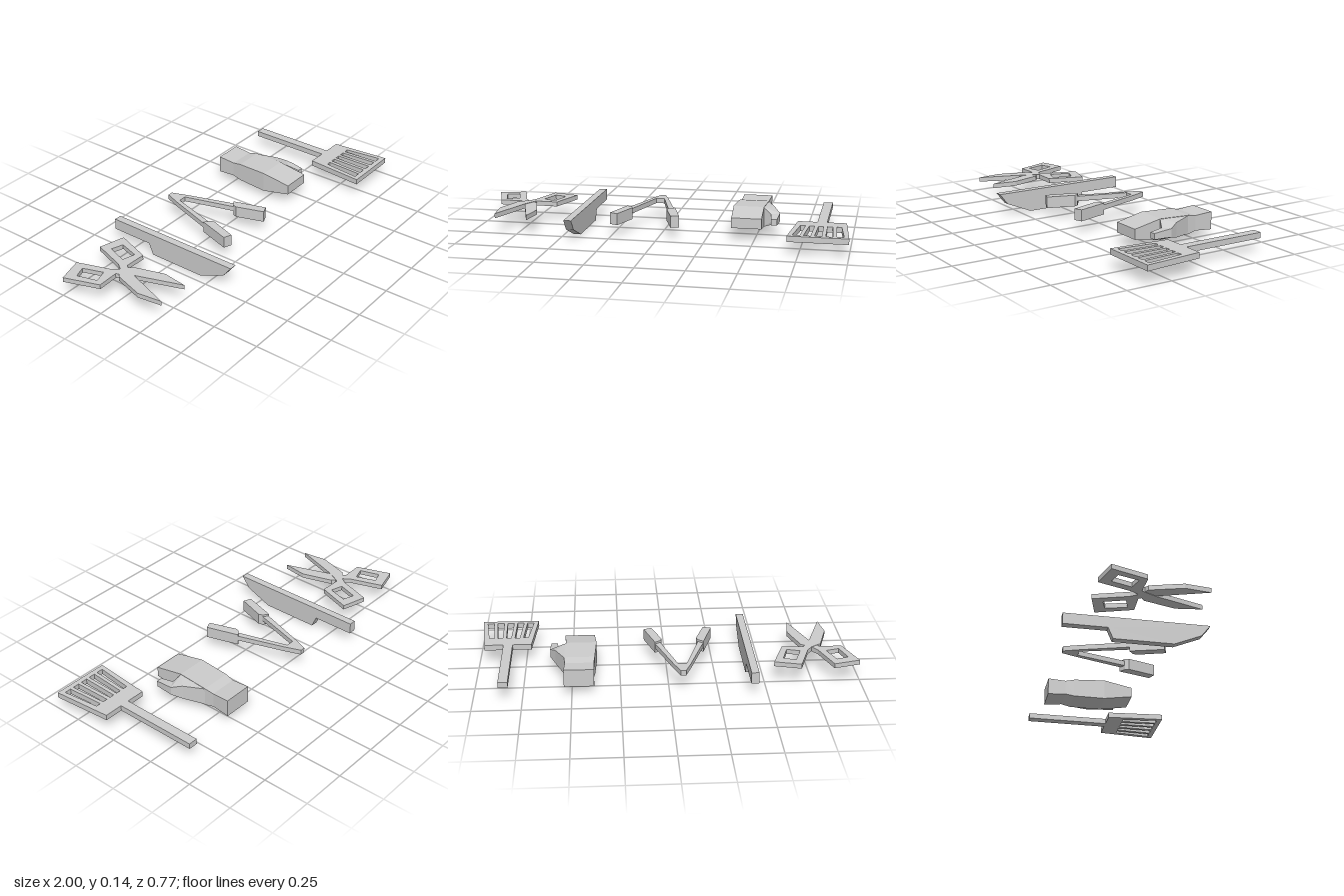
import * as THREE from 'three';

const material = new THREE.MeshStandardMaterial({ color: 0xcccccc, flatShading: true });

function addMesh(parent, name, geometry) {
  const mesh = new THREE.Mesh(geometry, material);
  mesh.name = name;
  parent.add(mesh);
  return mesh;
}

function addGroup(parent, name, x = 0) {
  const group = new THREE.Group();
  group.name = name;
  group.position.x = x;
  parent.add(group);
  return group;
}

// Flat plate from a plan outline of [x, z] points, raised from y0 to y1.
// Outlines are made counter-clockwise so the hole walls face the right way.
function plate(outline, y0, y1, holes = [], side = 1) {
  const toPoints = (list) => {
    const points = list.map(([x, z]) => new THREE.Vector2(side * x, -z));
    return THREE.ShapeUtils.isClockWise(points) ? points.reverse() : points;
  };
  const shape = new THREE.Shape(toPoints(outline));
  holes.forEach((h) => shape.holes.push(new THREE.Path(toPoints(h))));
  const geometry = new THREE.ExtrudeGeometry(shape, { depth: y1 - y0, bevelEnabled: false });
  return geometry.rotateX(-Math.PI / 2).translate(0, y0, 0);
}

// Four-sided loft, back to front. Each section is an inner and an outer
// upright edge, each given as [x, z, bottom y, top y].
function loft(sections) {
  const rings = sections.map(([[x0, z0, b0, t0], [x1, z1, b1, t1]]) => [
    [x0, b0, z0], [x1, b1, z1], [x1, t1, z1], [x0, t0, z0],
  ]);
  const positions = [];
  const quad = (a, b, c, d) => positions.push(...a, ...b, ...c, ...a, ...c, ...d);
  for (let i = 0; i < rings.length - 1; i++) {
    for (let j = 0; j < 4; j++) {
      const k = (j + 1) % 4;
      quad(rings[i][j], rings[i][k], rings[i + 1][k], rings[i + 1][j]);
    }
  }
  const first = rings[0];
  quad(first[0], first[3], first[2], first[1]);
  quad(...rings[rings.length - 1]);
  const geometry = new THREE.BufferGeometry();
  geometry.setAttribute('position', new THREE.Float32BufferAttribute(positions, 3));
  geometry.computeVertexNormals();
  return geometry;
}

// Two crossing halves, each a handle loop and a blade
function buildScissors(parent) {
  const scissors = addGroup(parent, 'scissors', -0.775);
  const half = [
    [-0.225, -0.243], [-0.086, -0.281], [-0.027, -0.105], [0, -0.067], [0.053, -0.03],
    [0.104, 0.136], [0.086, 0.27], [0, 0.02], [-0.025, -0.03], [-0.043, -0.06], [-0.16, -0.056],
  ];
  const hole = [[-0.171, -0.2], [-0.107, -0.222], [-0.07, -0.115], [-0.139, -0.094]];
  addMesh(scissors, 'rightScissorHalf', plate(half, 0.084, 0.109, [hole]));
  addMesh(scissors, 'leftScissorHalf', plate(half, 0.086, 0.111, [hole], -1));
}

// Knife standing on its edge: side profile extruded across x
function buildKnife(parent) {
  const profile = [
    [-0.386, 0.12], [-0.386, 0.06], [-0.155, 0.06], [-0.13, 0],
    [0.185, 0], [0.328, 0.06], [0.375, 0.12],
  ].map(([z, y]) => new THREE.Vector2(-z, y));
  const geometry = new THREE.ExtrudeGeometry(new THREE.Shape(profile), { depth: 0.04, bevelEnabled: false });
  geometry.translate(0, 0, -0.02).rotateY(Math.PI / 2);
  addMesh(parent, 'knife', geometry).position.x = -0.435;
}

// Sprung arms in one piece, with a thick grip pad on each end
function buildTongs(parent) {
  const tongs = addGroup(parent, 'tongs', -0.072);
  const rightSide = [
    [0.014, -0.328], [0.046, -0.243], [0.132, 0.02], [0.105, 0.04], [0.022, -0.243],
  ];
  const leftSide = rightSide.map(([x, z]) => [-x, z]).reverse();
  addMesh(tongs, 'arms', plate([...rightSide, ...leftSide], 0.087, 0.114));
  const pad = [[0.13, 0.005], [0.184, 0.18], [0.142, 0.197], [0.093, 0.05], [0.1, 0.028]];
  for (const side of [1, -1]) {
    addMesh(tongs, side > 0 ? 'leftGripPad' : 'rightGripPad', plate(pad, 0.063, 0.125, [], side));
  }
}

// Boxy mitten with a flared cuff and a hooked thumb that slopes out of the hand
function buildMitten(parent) {
  const mitten = addGroup(parent, 'ovenMitten');
  const handSections = [
    [0.385, 0.54, -0.338, 0.043, 0.137],
    [0.385, 0.535, -0.24, 0.05, 0.13],
    [0.38, 0.54, -0.19, 0.04, 0.14],
    [0.37, 0.532, -0.02, 0.035, 0.145],
    [0.38, 0.538, 0.138, 0.063, 0.117],
  ];
  addMesh(mitten, 'hand', loft(handSections.map(
    ([x0, x1, z, bottom, top]) => [[x0, z, bottom, top], [x1, z, bottom, top]],
  )));
  addMesh(mitten, 'thumb', loft([
    [[0.52, -0.19, 0.042, 0.138], [0.539, -0.19, 0.042, 0.138]],
    [[0.533, -0.08, 0.038, 0.142], [0.587, -0.08, 0.052, 0.13]],
    [[0.53, -0.02, 0.037, 0.143], [0.616, -0.028, 0.068, 0.113]],
    [[0.572, 0, 0.07, 0.112], [0.615, 0.01, 0.07, 0.11]],
    [[0.579, 0.072, 0.07, 0.102], [0.611, 0.072, 0.07, 0.102]],
  ]));
}

// Slotted turner with a flared head and a straight handle
function buildSpatula(parent) {
  const spatula = addGroup(parent, 'spatula', 0.846);
  const slots = [-2, -1, 0, 1, 2].map((k) => [
    [k * 0.046 - 0.013, 0.16], [k * 0.046 + 0.013, 0.16],
    [k * 0.055 + 0.018, 0.36], [k * 0.055 - 0.018, 0.36],
  ]);
  const head = [[-0.126, 0.07], [0.126, 0.07], [0.154, 0.387], [-0.154, 0.387]];
  addMesh(spatula, 'slottedHead', plate(head, 0.07, 0.1, slots));
  const handle = [[-0.025, -0.387], [0.025, -0.387], [0.025, 0.07], [-0.025, 0.07]];
  addMesh(spatula, 'handle', plate(handle, 0.07, 0.1));
}

export function createModel() {
  const model = new THREE.Group();
  model.name = 'kitchenUtensils';
  [buildScissors, buildKnife, buildTongs, buildMitten, buildSpatula].forEach((build) => build(model));
  return model;
}
